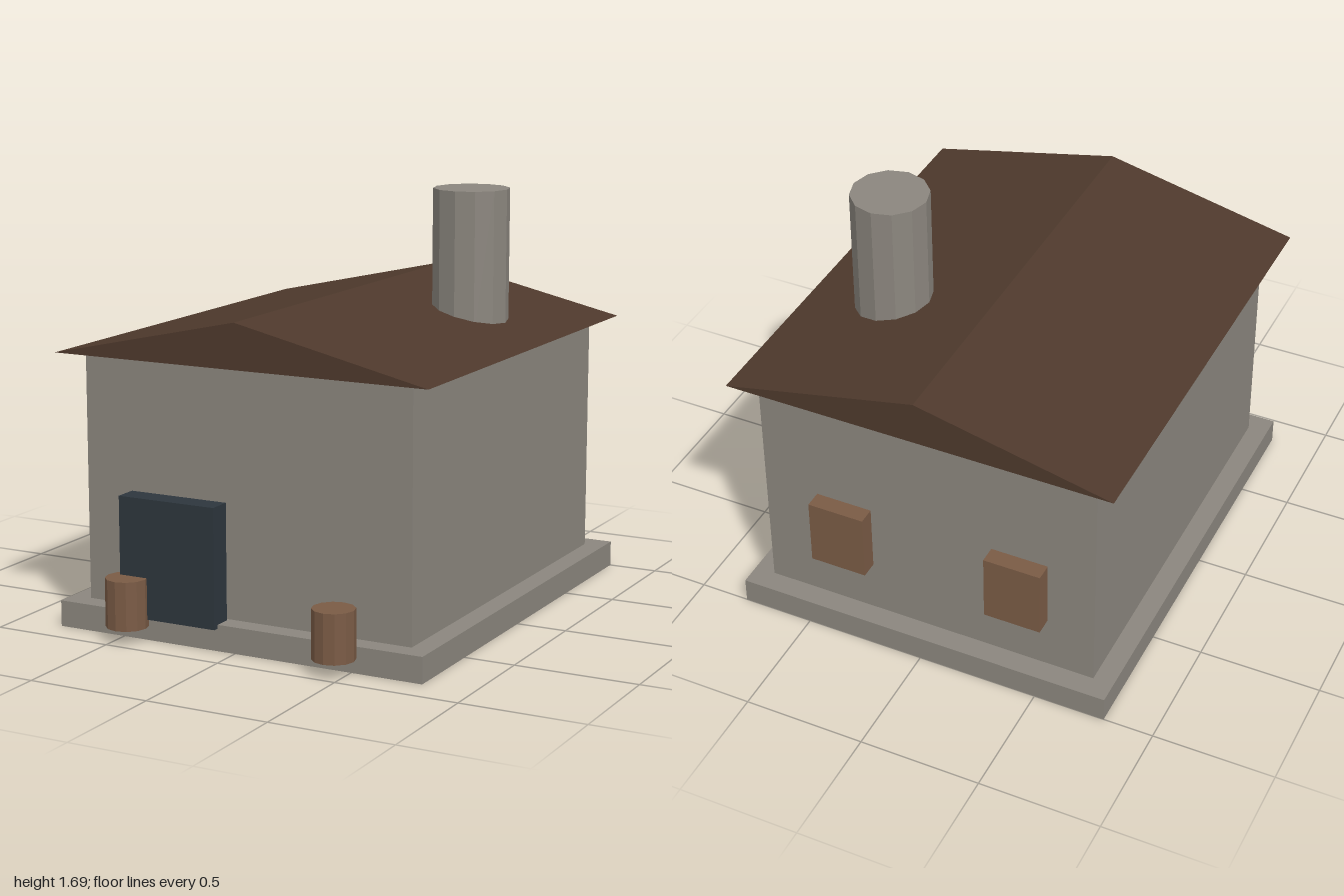
import * as THREE from 'three';

const mat = (name, color) => {
  const m = new THREE.MeshStandardMaterial({ color, flatShading: true });
  m.name = name;
  return m;
};

export function createModel() {
  const house = new THREE.Group();
  house.name = 'house';
  const stone = mat('stone', 0x8b867e);
  const roofBrown = mat('roofBrown', 0x4e392c);
  const doorBlue = mat('doorBlue', 0x2d363d);
  const wood = mat('wood', 0x7a5b45);

  const add = (name, geometry, material) => {
    const mesh = new THREE.Mesh(geometry, material);
    mesh.name = name;
    house.add(mesh);
    return mesh;
  };
  // Box given by its lower and upper corners
  const box = (name, material, [x0, y0, z0], [x1, y1, z1]) =>
    add(name, new THREE.BoxGeometry(x1 - x0, y1 - y0, z1 - z0), material)
      .position.set((x0 + x1) / 2, (y0 + y1) / 2, (z0 + z1) / 2);
  // Upright faceted cylinder between two heights
  const column = (name, material, r, x, z, y0, y1) =>
    add(name, new THREE.CylinderGeometry(r, r, y1 - y0, 12), material)
      .position.set(x, (y0 + y1) / 2, z);

  // Plinth and walls
  box('foundation', stone, [-0.795, 0, -1], [0.795, 0.105, 0.87]);
  box('walls', stone, [-0.71, 0.1, -0.91], [0.71, 1.11, 0.785]);

  // Gabled roof
  const gable = new THREE.Shape([
    new THREE.Vector2(-0.806, 1.1),
    new THREE.Vector2(0.806, 1.1),
    new THREE.Vector2(0, 1.28),
  ]);
  add('roof', new THREE.ExtrudeGeometry(gable, { depth: 1.845, bevelEnabled: false }), roofBrown)
    .position.z = -0.987;

  // Chimney through the left roof slope
  column('chimney', stone, 0.156, 0.425, -0.322, 1.1, 1.69);

  // Front door, standing just proud of the wall
  box('door', doorBlue, [-0.498, 0.09, 0.8], [-0.075, 0.57, 0.895]);

  // Barrels beside the entrance
  for (const x of [-0.455, 0.452]) column('barrel', wood, 0.084, x, 0.916, 0.06, 0.256);

  // Back shutters
  for (const x of [-0.4, 0.355])
    box('backShutter', wood, [x - 0.118, 0.345, -0.993], [x + 0.118, 0.627, -0.922]);

  return house;
}
